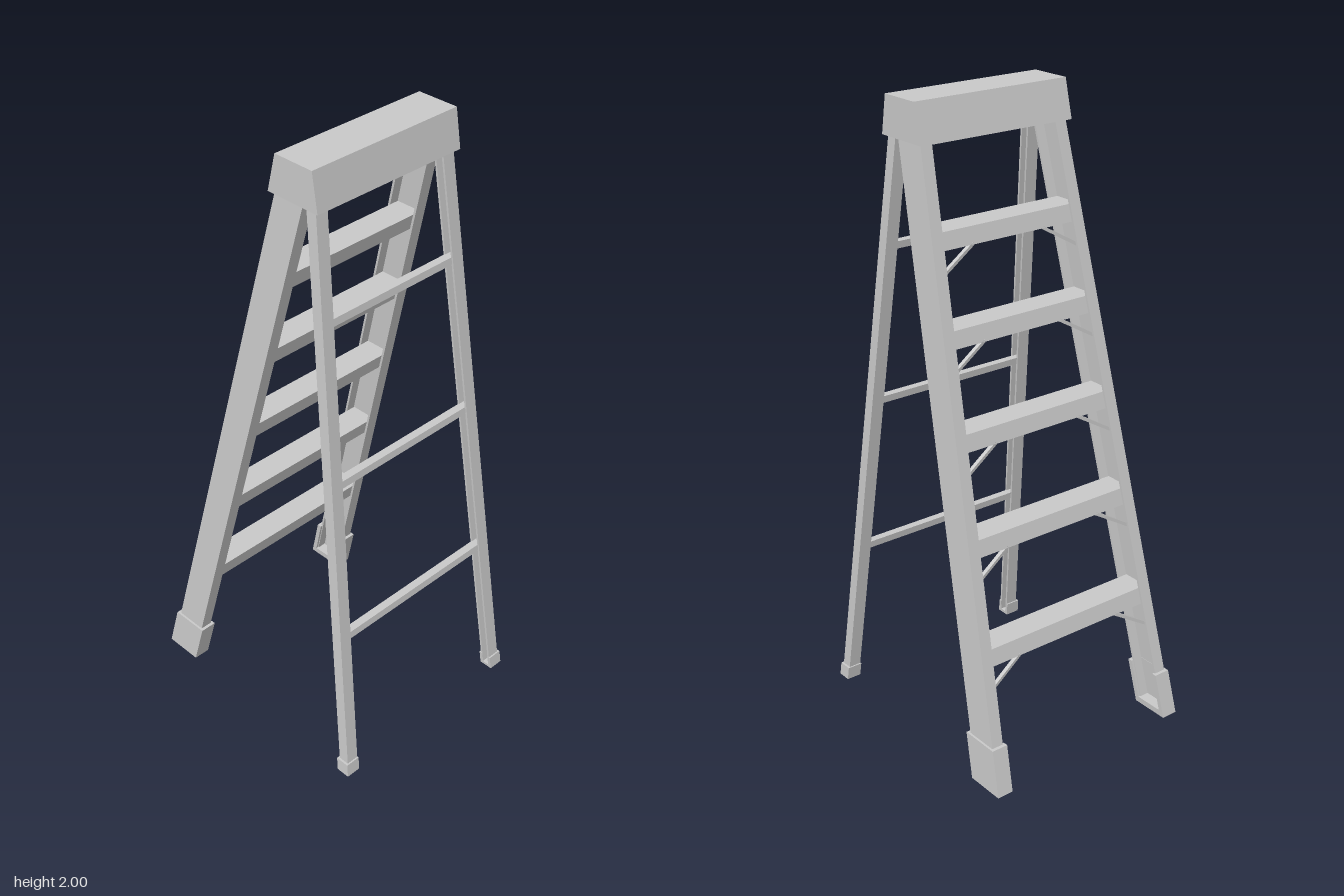
import * as THREE from 'three';

const material = new THREE.MeshStandardMaterial({ color: 0xcccccc, flatShading: true });

// Centre lines of the leaning rails, and the outer face shared by both pairs
const frontX = y => -0.372 + 0.2486 * y;
const rearX = y => 0.41 - 0.122 * y;
const outerZ = y => 0.36 - 0.051 * y;

function add(parent, name, geometry) {
  const mesh = new THREE.Mesh(geometry, material);
  mesh.name = name;
  parent.add(mesh);
  return mesh;
}

// Moves every vertex by a rule
function bend(geometry, rule) {
  const p = geometry.attributes.position;
  const v = new THREE.Vector3();
  for (let i = 0; i < p.count; i++) {
    rule(v.fromBufferAttribute(p, i));
    p.setXYZ(i, v.x, v.y, v.z);
  }
  geometry.computeVertexNormals();
  return geometry;
}

// C-shaped bar that opens inwards and follows a leaning centre line
function channel(side, y0, y1, centreX, width, depth, wall, grow = 0) {
  const w = width / 2, d = depth;
  const outline = [[-w, 0], [w, 0], [w, d], [w - wall, d], [w - wall, wall],
    [wall - w, wall], [wall - w, d], [-w, d]];
  const shape = new THREE.Shape(outline.map(([x, z]) => new THREE.Vector2(x, side * (z - grow))));
  const g = new THREE.ExtrudeGeometry(shape, { depth: y1 - y0, bevelEnabled: false });
  g.rotateX(-Math.PI / 2).translate(0, y0, 0);
  return bend(g, v => {
    v.x += centreX(v.y);
    v.z += side * outerZ(v.y);
  });
}

// Crossbar between the two rails of one pair, sheared along their lean
function crossbar(y, width, height, centreX) {
  const g = new THREE.BoxGeometry(width, height, 2).translate(0, y, 0);
  return bend(g, v => {
    v.x += centreX(v.y);
    v.z *= outerZ(v.y) - 0.006;
  });
}

// Sole that closes the bottom of a foot
function sole(side, height, centreX, width, depth, grow) {
  const g = new THREE.BoxGeometry(width, height, depth)
    .translate(0, height / 2, side * (grow - depth / 2));
  return bend(g, v => {
    v.x += centreX(v.y);
    v.z += side * outerZ(v.y);
  });
}

// Flat strut between two points
function strut(a, b, width, thickness) {
  const dir = b.clone().sub(a);
  const g = new THREE.BoxGeometry(width, thickness, dir.length());
  const m = new THREE.Matrix4().lookAt(b, a, new THREE.Vector3(0, 1, 0));
  return g.applyMatrix4(m.setPosition(a.clone().add(b).multiplyScalar(0.5)));
}

export function createModel() {
  const ladder = new THREE.Group();
  ladder.name = 'stepladder';

  // Tapered top cap
  const cap = new THREE.BoxGeometry(1, 0.12, 0.548).translate(0, 1.94, 0);
  add(ladder, 'topCap', bend(cap, v => {
    const top = v.y > 1.94;
    v.x = v.x < 0 ? (top ? 0.055 : 0.025) : (top ? 0.195 : 0.215);
  }));

  // Rails and feet
  for (const side of [1, -1]) {
    const label = side > 0 ? 'Left' : 'Right';
    add(ladder, 'climbingRail' + label, channel(side, 0.02, 1.9, frontX, 0.108, 0.04, 0.008));
    add(ladder, 'rearRail' + label, channel(side, 0.01, 1.9, rearX, 0.036, 0.042, 0.007));

    const foot = new THREE.Group();
    foot.name = 'climbingFoot' + label;
    add(foot, 'footShoe', channel(side, 0, 0.145, frontX, 0.13, 0.055, 0.016, 0.007));
    add(foot, 'footSole', sole(side, 0.02, frontX, 0.13, 0.055, 0.007));
    ladder.add(foot);

    const rearFoot = new THREE.Group();
    rearFoot.name = 'rearFoot' + label;
    add(rearFoot, 'footShoe', channel(side, 0, 0.045, rearX, 0.046, 0.05, 0.01, 0.007));
    add(rearFoot, 'footSole', sole(side, 0.01, rearX, 0.046, 0.05, 0.007));
    ladder.add(rearFoot);
  }

  // Steps, each with a diagonal brace at both ends
  for (const top of [0.43, 0.757, 1.065, 1.36, 1.635]) {
    const step = new THREE.Group();
    step.name = 'step';
    add(step, 'tread', crossbar(top - 0.026, 0.09, 0.052, frontX));
    for (const side of [1, -1]) {
      const yLow = top - 0.125, yHigh = top - 0.05;
      const low = new THREE.Vector3(frontX(yLow) - 0.038, yLow, side * (outerZ(yLow) - 0.025));
      const high = new THREE.Vector3(frontX(yHigh) - 0.038, yHigh, side * (outerZ(yHigh) - 0.15));
      add(step, 'brace', strut(low, high, 0.012, 0.01));
    }
    ladder.add(step);
  }

  // Rear crossbars
  for (const y of [0.51, 1.036, 1.545]) {
    add(ladder, 'rearCrossbar', crossbar(y, 0.026, 0.023, rearX));
  }

  return ladder;
}
